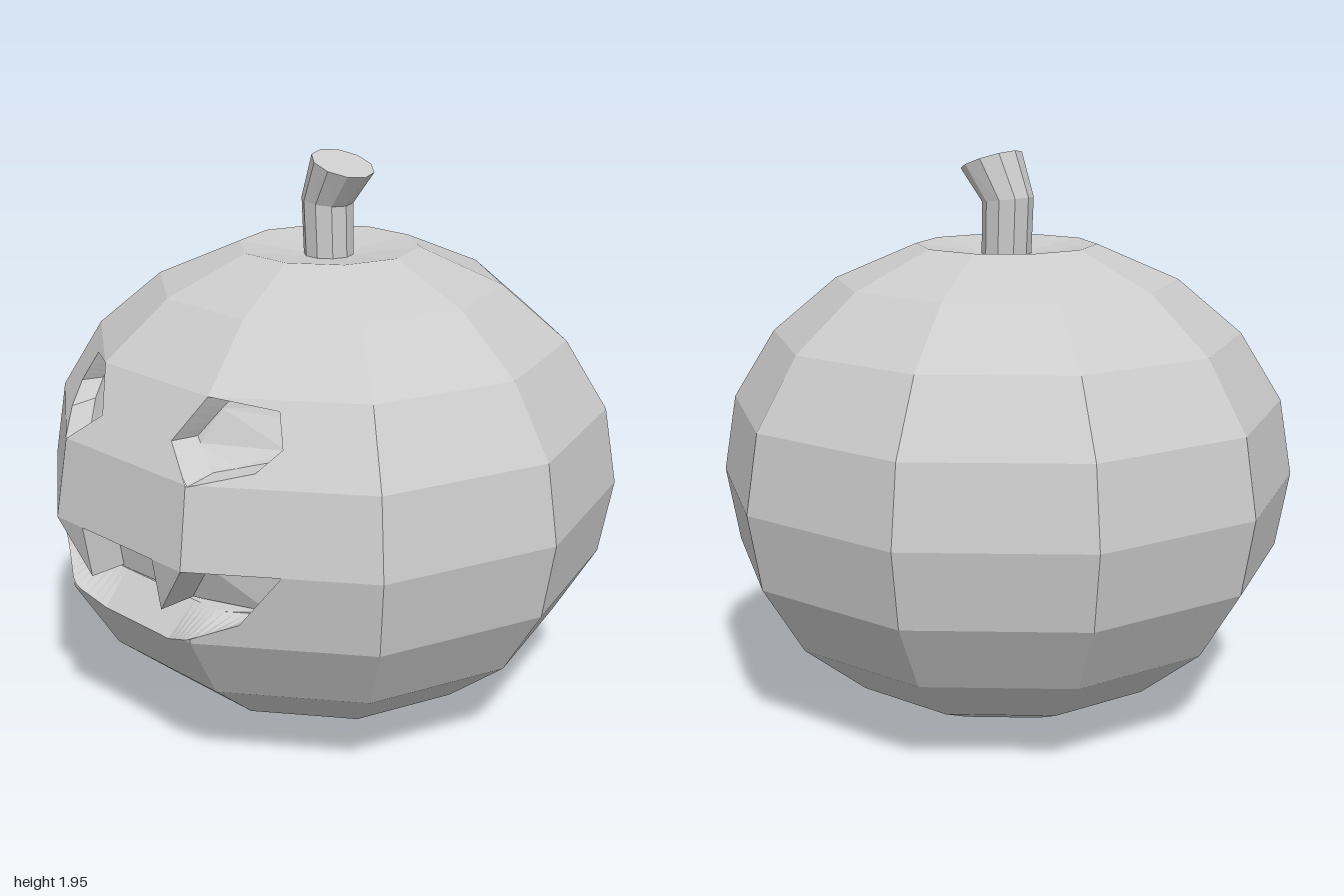
import * as THREE from 'three';

const SIDES = 10;
// Body profile from the underside to the sunken crown: [radius, height]
const RINGS = [[0, 0.005], [0.4, 0.065], [0.585, 0.15], [0.81, 0.335], [0.955, 0.575], [1, 0.835],
  [0.955, 1.1], [0.81, 1.335], [0.59, 1.52], [0.31, 1.64], [0, 1.595]];

// Outlines of the carved face, counter-clockwise in x, y
const EYE = [[0.17, 1.195], [0.3, 1.095], [0.45, 1.14], [0.49, 1.205], [0.44, 1.305], [0.25, 1.335]];
const MOUTH = [[0.56, 0.835], [0.31, 0.835], [0.175, 0.655], [0.175, 0.835],
  [-0.175, 0.835], [-0.175, 0.655], [-0.31, 0.835], [-0.56, 0.835],
  [-0.43, 0.655], [-0.285, 0.585], [-0.16, 0.535], [0.16, 0.535], [0.285, 0.585], [0.43, 0.655]];
const mirror = (outline) => outline.map(([x, y]) => [-x, y]).reverse();

// Convex pieces that together cover the openings
const MOUTH_SIDE = [[0.56, 0.835], [0.31, 0.835], [0.175, 0.655], [0.43, 0.655]];
const OPENINGS = [EYE, mirror(EYE), MOUTH_SIDE, mirror(MOUTH_SIDE),
  [[-0.175, 0.655], [0.175, 0.655], [0.175, 0.835], [-0.175, 0.835]],
  MOUTH.slice(8).concat([])];

const material = (side = THREE.FrontSide) =>
  new THREE.MeshStandardMaterial({ color: 0xcccccc, flatShading: true, side });

function meshFrom(name, positions, side) {
  const geometry = new THREE.BufferGeometry();
  geometry.setAttribute('position', new THREE.Float32BufferAttribute(positions, 3));
  geometry.computeVertexNormals();
  const mesh = new THREE.Mesh(geometry, material(side));
  mesh.name = name;
  return mesh;
}

function addPolygon(out, points) {
  for (let i = 1; i < points.length - 1; i++) out.push(...points[0], ...points[i], ...points[i + 1]);
}

// Keep the part of a polygon on one side of the line a-b, as seen from the front
function clip(points, a, b, sign) {
  const dist = (p) => sign * ((b[0] - a[0]) * (p[1] - a[1]) - (b[1] - a[1]) * (p[0] - a[0]));
  const kept = [];
  points.forEach((p, i) => {
    const q = points[(i + 1) % points.length];
    const dp = dist(p), dq = dist(q);
    if (dp >= 0) kept.push(p);
    if (dp * dq < 0) kept.push(p.map((v, k) => v + (q[k] - v) * dp / (dp - dq)));
  });
  return kept;
}

// Remove a convex opening from a convex polygon, leaving convex pieces
function subtract(points, opening) {
  const pieces = [];
  let rest = points;
  opening.forEach((a, i) => {
    const b = opening[(i + 1) % opening.length];
    const outside = clip(rest, a, b, -1);
    if (outside.length > 2) pieces.push(outside);
    rest = clip(rest, a, b, 1);
  });
  return pieces;
}

// Depth of the faceted front at x, y
function frontZ(x, y) {
  let i = 1;
  while (i < RINGS.length - 3 && RINGS[i + 1][1] < y) i++;
  const [r0, y0] = RINGS[i], [r1, y1] = RINGS[i + 1];
  const apothem = (r0 + (r1 - r0) * (y - y0) / (y1 - y0)) * Math.cos(Math.PI / SIDES);
  return Math.min(...[54, 90, 126].map((deg) => {
    const t = THREE.MathUtils.degToRad(deg);
    return (apothem - x * Math.cos(t)) / Math.sin(t);
  }));
}

function createBody() {
  const out = [];
  const point = ([r, y], k) => {
    const a = (k / SIDES) * Math.PI * 2;
    return [r * Math.cos(a), y, r * Math.sin(a)];
  };
  for (let i = 0; i < RINGS.length - 1; i++) {
    for (let k = 0; k < SIDES; k++) {
      const lo = RINGS[i], hi = RINGS[i + 1];
      let panel = [point(lo, k), point(hi, k), point(hi, k + 1), point(lo, k + 1)];
      if (!lo[0]) panel = panel.slice(0, 3);
      if (!hi[0]) panel.splice(2, 1);
      let pieces = [panel];
      if (k >= 1 && k <= 3 && i >= 3 && i <= 7) {
        for (const opening of OPENINGS) pieces = pieces.flatMap((p) => subtract(p, opening));
      }
      pieces.forEach((p) => addPolygon(out, p));
    }
  }
  return meshFrom('body', out);
}

// Walls and back of one carved opening; inset maps a rim point to its back point
function createRecess(name, outline, depth, inset) {
  const rim = [], back = [], steps = 5;
  outline.forEach((a, i) => {
    const b = outline[(i + 1) % outline.length];
    for (let s = 0; s < steps; s++) {
      const x = a[0] + (b[0] - a[0]) * s / steps, y = a[1] + (b[1] - a[1]) * s / steps;
      const [u, v] = inset(x, y);
      rim.push([x, y, frontZ(x, y)]);
      back.push([u, v, frontZ(u, v) - depth]);
    }
  });
  const out = [];
  rim.forEach((p, i) => {
    const j = (i + 1) % rim.length;
    addPolygon(out, [p, rim[j], back[j], back[i]]);
  });
  const flat = back.map(([x, y]) => new THREE.Vector2(x, y));
  for (const tri of THREE.ShapeUtils.triangulateShape(flat, [])) addPolygon(out, tri.map((i) => back[i]));
  return meshFrom(name, out, THREE.DoubleSide);
}

// Bent stem: cross-sections [centre x, centre y, radius, tilt]
function createStem() {
  const sections = [[0, 1.59, 0.085, 0], [-0.007, 1.79, 0.088, -0.12], [0.065, 1.92, 0.108, -0.33]];
  const rings = sections.map(([cx, cy, r, tilt]) => Array.from({ length: SIDES }, (_, k) => {
    const a = (k / SIDES) * Math.PI * 2, d = r * Math.cos(a);
    return [cx + d * Math.cos(tilt), cy + d * Math.sin(tilt), r * Math.sin(a)];
  }));
  const out = [];
  for (let i = 0; i < rings.length - 1; i++) {
    for (let k = 0; k < SIDES; k++) {
      const n = (k + 1) % SIDES;
      addPolygon(out, [rings[i][k], rings[i + 1][k], rings[i + 1][n], rings[i][n]]);
    }
  }
  addPolygon(out, [...rings[2]].reverse());
  return meshFrom('stem', out);
}

export function createModel() {
  const model = new THREE.Group();
  model.name = 'carvedPumpkin';
  const eyeInset = (side) => (x, y) => [x + (side * 0.33 - x) * 0.12, y + (1.19 - y) * 0.2];
  const mouthInset = (x, y) => [x, THREE.MathUtils.clamp(y, 0.645, 0.82)];
  model.add(
    createBody(),
    createStem(),
    createRecess('leftEye', EYE, 0.09, eyeInset(1)),
    createRecess('rightEye', mirror(EYE), 0.09, eyeInset(-1)),
    createRecess('mouth', MOUTH, 0.13, mouthInset),
  );
  return model;
}
